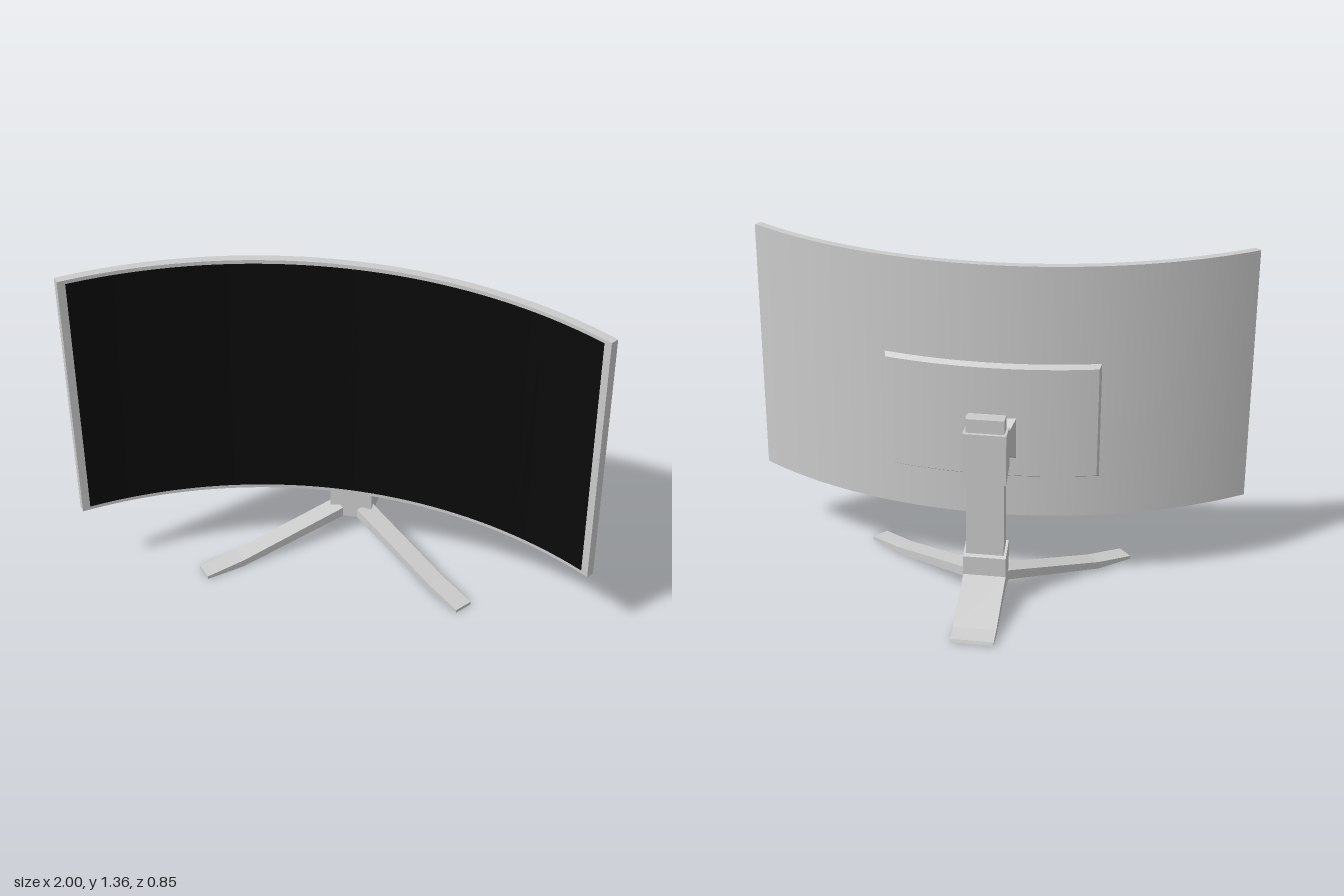
import * as THREE from 'three';

const grey = new THREE.MeshStandardMaterial({ color: 0xcccccc });
const black = new THREE.MeshStandardMaterial({ color: 0x0a0a0a });
const CURVE_Z = 1.795; // centre of the display curve
const CENTRE_X = -0.005; // centre line of the stand

function addMesh(group, name, geometry, material = grey) {
  const mesh = new THREE.Mesh(geometry, material);
  mesh.name = name;
  group.add(mesh);
  return mesh;
}

// Box bent around the curve centre; its back rim can be drawn in by a bevel
function bentSlab(rFront, rBack, halfAngle, y0, y1, bevel = 0) {
  const g = new THREE.BoxGeometry(2, 1, 1, 40, 1, 1);
  const p = g.attributes.position;
  for (let i = 0; i < p.count; i++) {
    const back = p.getZ(i) < 0;
    const r = back ? rBack : rFront;
    const inset = back ? bevel : 0;
    const a = p.getX(i) * (halfAngle - inset / r);
    const y = p.getY(i) > 0 ? y1 - inset : y0 + inset;
    p.setXYZ(i, r * Math.sin(a), y, CURVE_Z - r * Math.cos(a));
  }
  g.computeVertexNormals();
  return g;
}

// Side profile extruded evenly about its own plane
function profile(points, width) {
  const shape = new THREE.Shape(points.map(([u, y]) => new THREE.Vector2(u, y)));
  return new THREE.ExtrudeGeometry(shape, { depth: width, bevelEnabled: false }).translate(0, 0, -width / 2);
}

// Profile given as [distance behind the origin, height], extruded along x
function sideProfile(points, width) {
  return profile(points, width).rotateY(Math.PI / 2).translate(CENTRE_X, 0, 0);
}

function box(x, y0, y1, z0, z1) {
  return new THREE.BoxGeometry(x, y1 - y0, z1 - z0).translate(CENTRE_X, (y0 + y1) / 2, (z0 + z1) / 2);
}

// Box whose back face shrinks to the given scale
function taperedBox(x, y0, y1, z0, z1, sx, sy) {
  const g = new THREE.BoxGeometry(x, y1 - y0, z1 - z0);
  const p = g.attributes.position;
  for (let i = 0; i < p.count; i++) {
    if (p.getZ(i) < 0) p.setXY(i, p.getX(i) * sx, p.getY(i) * sy);
  }
  g.computeVertexNormals();
  return g.translate(CENTRE_X, (y0 + y1) / 2, (z0 + z1) / 2);
}

export function createModel() {
  const model = new THREE.Group();
  model.name = 'curvedMonitor';

  // Curved display
  const display = new THREE.Group();
  display.name = 'display';
  addMesh(display, 'housing', bentSlab(1.687, 1.72, 0.62, 0.305, 1.36));
  addMesh(display, 'screen', bentSlab(1.685, 1.69, 0.602, 0.321, 1.345), black);
  addMesh(display, 'backCover', bentSlab(1.715, 1.743, 0.252, 0.477, 0.965, 0.016));
  model.add(display);

  // Mount between display and stand
  const mount = new THREE.Group();
  mount.name = 'mount';
  addMesh(mount, 'mountPlate', taperedBox(0.2, 0.57, 0.742, 0.014, 0.056, 0.85, 0.7));
  addMesh(mount, 'mountCap', taperedBox(0.17, 0.596, 0.716, 0.004, 0.014, 0.9, 0.8));
  addMesh(mount, 'mountNeck', box(0.12, 0.62, 0.69, -0.03, 0.008));
  model.add(mount);

  // Upright column with its sliding carriage and foot socket
  const stand = new THREE.Group();
  stand.name = 'stand';
  addMesh(stand, 'column', box(0.15, 0.1, 0.797, -0.096, -0.04));
  addMesh(stand, 'carriage', sideProfile([[0.025, 0.57], [0.111, 0.53], [0.111, 0.74], [0.025, 0.74]], 0.17));

  // Socket and rear leg share one side profile
  addMesh(stand, 'socketAndRearLeg', sideProfile([
    [0.025, 0.072], [0.115, 0.072], [0.345, 0.005], [0.425, 0.003], [0.42, 0.016],
    [0.355, 0.03], [0.111, 0.125], [0.111, 0.205], [0.025, 0.245],
  ], 0.17));

  // Splayed front legs, measured inwards from the toe
  const heading = Math.atan2(0.64, 0.768);
  const legProfile = profile([
    [-0.61, 0.085], [-0.16, 0.003], [0, 0.002], [0, 0.015], [-0.16, 0.033], [-0.61, 0.127],
  ], 0.075);
  for (const side of [1, -1]) {
    const leg = addMesh(stand, side > 0 ? 'leftFrontLeg' : 'rightFrontLeg', legProfile);
    leg.rotation.y = side > 0 ? -heading : Math.PI + heading;
    leg.position.set(CENTRE_X + side * 0.522, 0, 0.355);
  }
  model.add(stand);

  return model;
}
